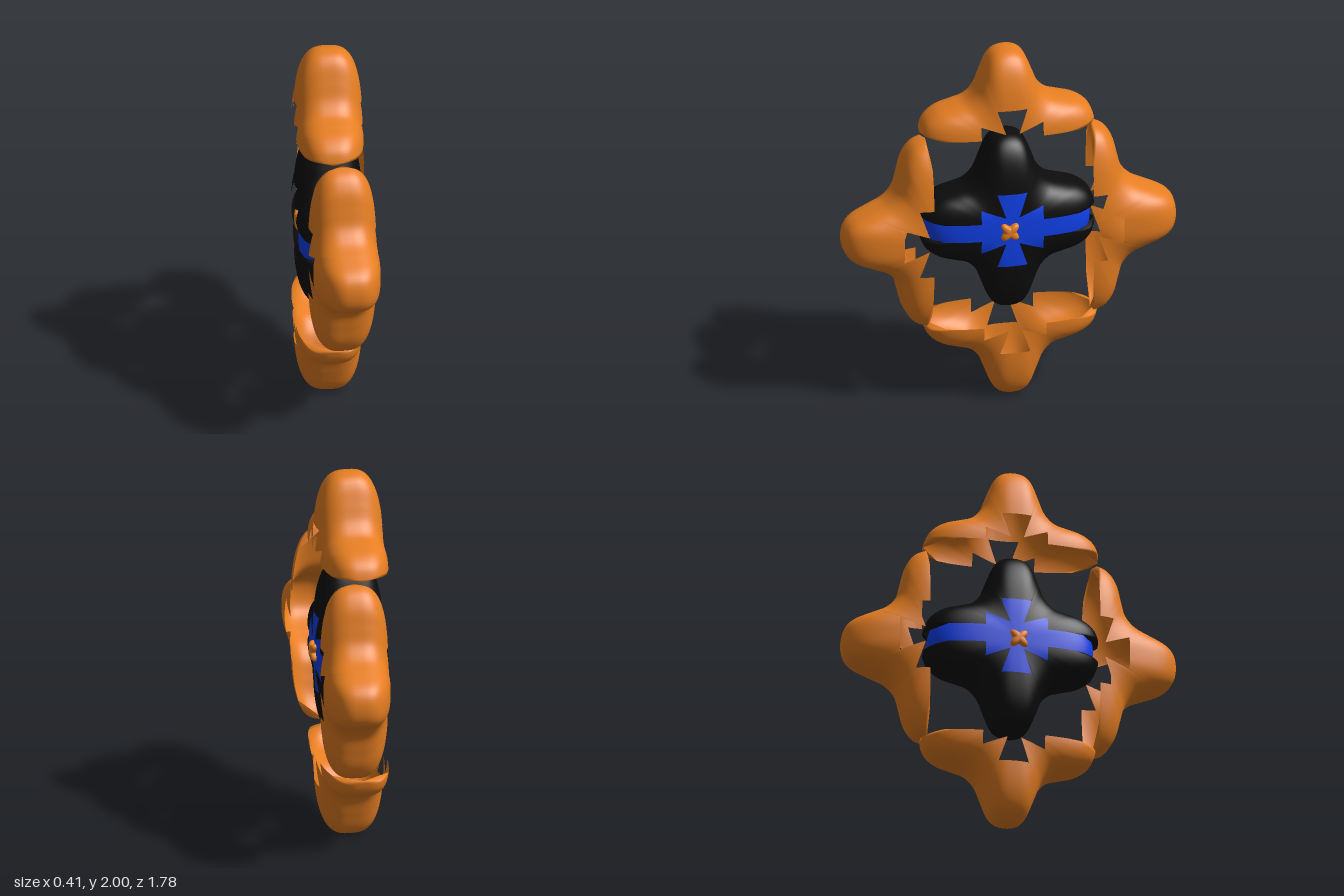
import * as THREE from 'three';
import { mergeVertices } from 'three/addons/utils/BufferGeometryUtils.js';

const vec = ([u, v]) => new THREE.Vector2(u, v);

// Quarter outline of the puffy cross (u across, v outward), mirrored by folding
const outline = new THREE.SplineCurve([
  [-0.06, 0.487], [0, 0.5], [0.06, 0.487], [0.1, 0.445], [0.135, 0.36], [0.17, 0.275],
  [0.225, 0.218], [0.3, 0.193], [0.38, 0.168], [0.44, 0.12], [0.465, 0.05], [0.47, 0], [0.465, -0.05],
].map(vec)).getPoints(96);

// Quarter edge of the flared-cross cutout with its side slot
const notch = [[0.465, 0.05], [0.165, 0.05], [0.165, 0.125], [0.035, 0.075], [0.08, 0.21], [0, 0.21]].map(vec);

// Distance from the centre to a line of points, in the direction of an angle
function reach(points, angle) {
  const d = new THREE.Vector2(Math.abs(Math.cos(angle)), Math.abs(Math.sin(angle)));
  for (let i = 0; i < points.length - 1; i++) {
    const p = points[i], e = points[i + 1].clone().sub(p);
    const t = -d.cross(p) / d.cross(e);
    if (t >= -1e-6 && t <= 1 + 1e-6) {
      const r = p.clone().addScaledVector(e, t).dot(d);
      if (r > 0) return r;
    }
  }
  return points[0].length();
}

// Pillow surface over a polar outline: x is thickness, y outward, z across
function puff(angles, radius, inner, half, rows) {
  const pos = [], index = [];
  angles.forEach((a, i) => {
    const r = radius(a);
    const start = Math.asin(Math.pow(Math.min(1, inner(a) / r), 1.5));
    for (let j = 0; j <= rows; j++) {
      const phi = start + (Math.PI - 2 * start) * j / rows;
      const s = Math.pow(Math.max(0, Math.sin(phi)), 2 / 3) * r;
      const c = Math.cos(phi);
      pos.push(Math.sign(c) * Math.pow(Math.abs(c), 2 / 3) * half, s * Math.sin(a), s * Math.cos(a));
      if (i && j) {
        const k = i * (rows + 1) + j, p = k - rows - 1;
        index.push(p - 1, k - 1, p, k - 1, k, p);
      }
    }
  });
  const g = new THREE.BufferGeometry();
  g.setAttribute('position', new THREE.Float32BufferAttribute(pos, 3));
  g.setIndex(index);
  return g;
}

function finish(g) {
  const merged = mergeVertices(g, 1e-5);
  merged.computeVertexNormals();
  return merged;
}

const fullTurn = Array.from({ length: 129 }, (_, i) => i / 128 * Math.PI * 2);

// Half shell, open at its base and cut by the notch
function halfShell(stretch) {
  const keys = notch.map(p => p.angle());
  const quarter = [keys[0]];
  for (let i = 1; i < keys.length; i++) {
    const n = Math.max(4, Math.round((keys[i] - keys[i - 1]) / 0.03));
    for (let k = 1; k <= n; k++) quarter.push(keys[i - 1] + (keys[i] - keys[i - 1]) * k / n);
  }
  const angles = [...quarter, ...quarter.slice(0, -1).reverse().map(a => Math.PI - a)];
  const g = puff(angles, a => reach(outline, a), a => reach(notch, a), 0.18, 40);
  return finish(g.scale(1, 1, stretch));
}

export function createModel() {
  const model = new THREE.Group();
  const paint = color => new THREE.MeshStandardMaterial({ color, side: THREE.DoubleSide });
  const orange = paint(0xe67e22), black = paint(0x0c0c0c), blue = paint(0x1040ea);

  const add = (name, geometry, material, position, rx = 0, ry = 0) => {
    const mesh = new THREE.Mesh(geometry, material);
    mesh.name = name;
    mesh.position.set(...position);
    mesh.rotation.set(rx, ry, 0, 'YXZ');
    model.add(mesh);
  };

  const shell = halfShell(1), wideShell = halfShell(1.16);
  const quarterTurn = Math.PI / 2;

  // Four outer shells; the front and back ones lean slightly sideways
  add('topShell', shell, orange, [-0.03, 1.5, 0]);
  add('bottomShell', shell, orange, [-0.03, 0.5, -0.015], Math.PI);
  add('frontShell', wideShell, orange, [0.01, 0.995, 0.39], quarterTurn, 0.08);
  add('backShell', wideShell, orange, [0.01, 0.995, -0.387], -quarterTurn, -0.08);

  // Black core halves
  add('upperCoreShell', shell, black, [-0.03, 1.01, 0]);
  add('lowerCoreShell', shell, black, [-0.03, 1.01, 0], Math.PI);

  // Blue inner body showing through the slot and cross cutout
  const body = finish(puff(fullTurn, a => 0.93 * reach(outline, a), () => 0, 0.162, 48));
  add('innerBody', body, blue, [-0.02, 1.01, 0]);

  // Small four-lobed button on each side
  const button = finish(puff(fullTurn, a => 0.046 - 0.014 * Math.cos(4 * a), () => 0, 0.028, 20));
  add('leftButton', button, orange, [0.145, 1.005, 0.015]);
  add('rightButton', button, orange, [-0.178, 1.005, 0.015]);

  return model;
}
